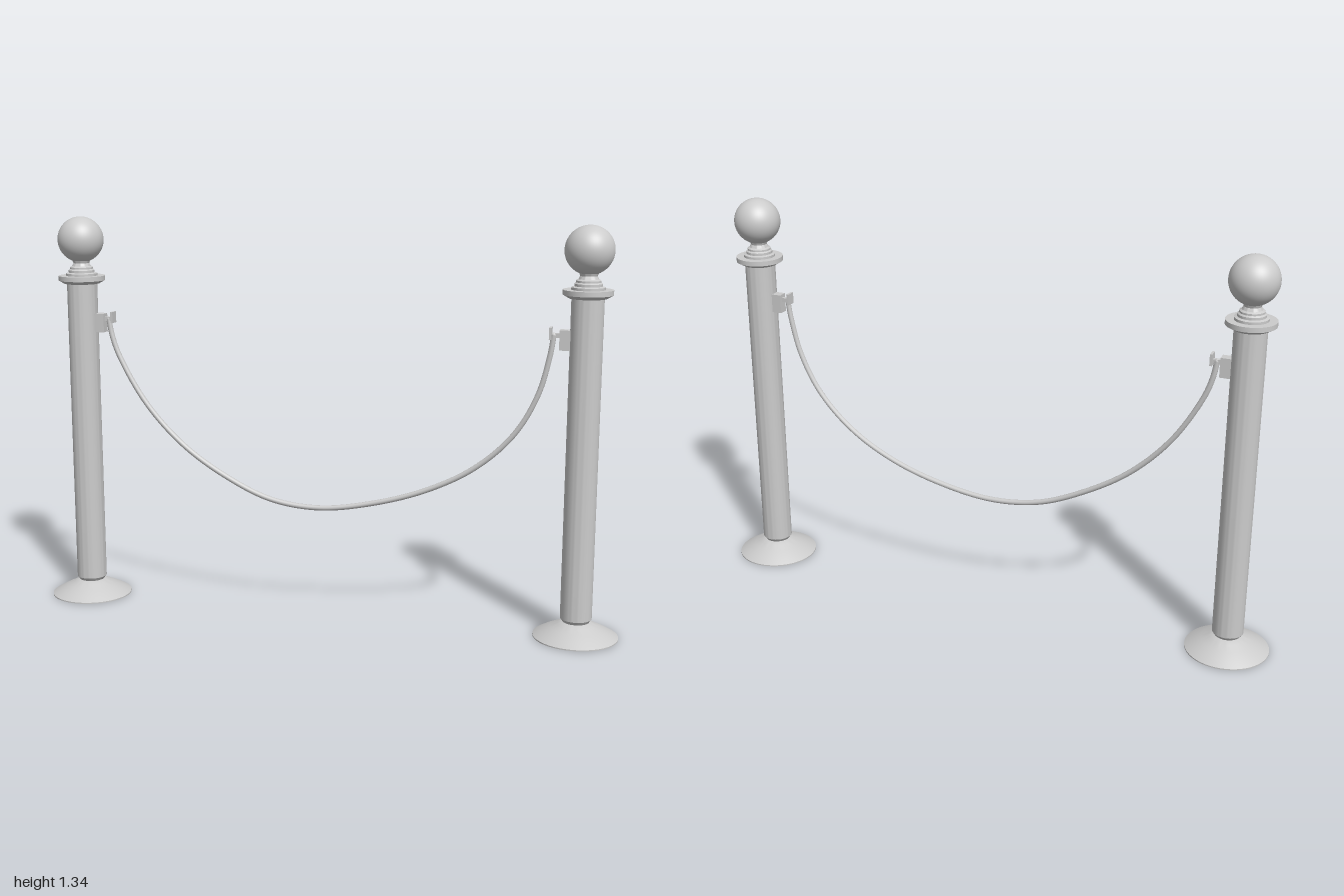
import * as THREE from 'three';
import { toCreasedNormals } from 'three/addons/utils/BufferGeometryUtils.js';

const material = new THREE.MeshStandardMaterial({ color: 0xcccccc });

function part(name, geometry, parent, x = 0, y = 0, z = 0) {
  const mesh = new THREE.Mesh(geometry, material);
  mesh.name = name;
  mesh.position.set(x, y, z);
  parent.add(mesh);
  return mesh;
}

// Revolved profile, listed from bottom to top, with sharp steps kept crisp
function turned(points) {
  const profile = points.map(([r, y]) => new THREE.Vector2(r, y));
  return toCreasedNormals(new THREE.LatheGeometry(profile, 48), 0.5);
}

// One post with its rope hook pointing along +x
function createPost() {
  const post = new THREE.Group();
  part('base', turned([[0, 0], [0.139, 0], [0.139, 0.004], [0.115, 0.018], [0.085, 0.033],
    [0.06, 0.044], [0.043, 0.053], [0, 0.053]]), post);
  part('pole', turned([[0, 0.05], [0.043, 0.052], [0.0515, 0.064], [0.0515, 1.115], [0, 1.115]]), post);
  part('collar', turned([[0, 1.112], [0.06, 1.112], [0.079, 1.123], [0.079, 1.139], [0, 1.139]]), post);
  part('neck', turned([[0.053, 1.137], [0.053, 1.147], [0.044, 1.15], [0.044, 1.158],
    [0.039, 1.162], [0.039, 1.168], [0.032, 1.172], [0.027, 1.182], [0.033, 1.198]]), post);
  part('ball', new THREE.SphereGeometry(0.078, 48, 32), post, 0, 1.262);

  // Hook: block on the pole, short arm, upright end plate
  const hook = new THREE.Group();
  hook.name = 'hook';
  part('hookBlock', new THREE.BoxGeometry(0.036, 0.064, 0.032), hook, 0.065, 0.978);
  part('hookArm', new THREE.BoxGeometry(0.036, 0.014, 0.014), hook, 0.096, 0.992);
  part('hookPlate', new THREE.BoxGeometry(0.008, 0.038, 0.032), hook, 0.112, 0.998);
  post.add(hook);
  return post;
}

export function createModel() {
  const model = new THREE.Group();
  model.name = 'ropeBarrier';

  for (const side of [-1, 1]) {
    const post = createPost();
    post.name = side < 0 ? 'rightPost' : 'leftPost';
    post.position.x = side * 0.86;
    if (side > 0) post.rotation.y = Math.PI;
    model.add(post);
  }

  // Sagging rope, with a slight sideways wave
  const path = [[-0.764, 0.992], [-0.755, 0.94], [-0.73, 0.868], [-0.634, 0.706], [-0.5, 0.567],
    [-0.34, 0.463], [-0.18, 0.394], [-0.013, 0.374], [0.168, 0.4], [0.355, 0.458],
    [0.516, 0.545], [0.64, 0.663], [0.714, 0.797], [0.749, 0.93], [0.758, 0.992]];
  const curve = new THREE.CatmullRomCurve3(path.map(([x, y]) =>
    new THREE.Vector3(x, y, 0.002 - 0.01 * Math.sin((x - 0.07) * Math.PI / 0.7) * (1 - x * x))));
  part('rope', new THREE.TubeGeometry(curve, 120, 0.009, 10), model);

  // Rounded rope ends
  for (const t of [0, 1]) {
    const p = curve.getPoint(t);
    part('ropeEnd', new THREE.SphereGeometry(0.009, 12, 8), model, p.x, p.y, p.z);
  }
  return model;
}
